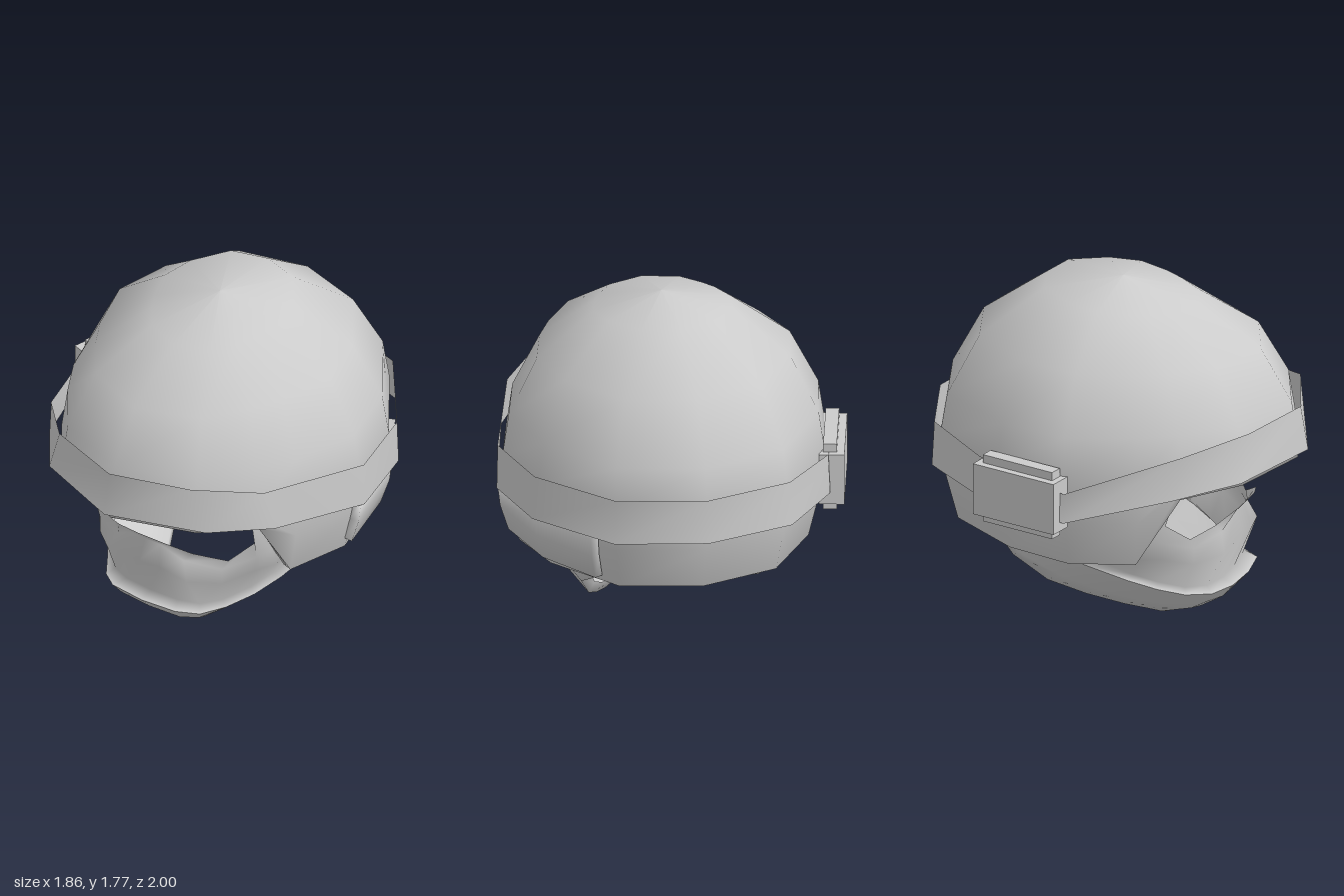
import * as THREE from 'three';

const material = new THREE.MeshStandardMaterial({ color: 0xcccccc, side: THREE.DoubleSide });
const CENTRE = 0.045; // the shell sits slightly off centre, balancing the side box

// Half loop (front to back, both ends on x = 0) -> full loop
const mirror = half => [...half, ...half.slice(1, -1).reverse().map(([x, y, z]) => [-x, y, z])];
const lerp = (a, b, t) => a.map((v, i) => v + (b[i] - v) * t);

// Skin a list of equal-length rows, bottom to top; skip(r, c) leaves a hole
function loft(name, rows, closed = true, skip = () => false) {
  const n = rows[0].length, index = [];
  for (let r = 0; r < rows.length - 1; r++) {
    for (let c = 0; c < (closed ? n : n - 1); c++) {
      if (skip(r, c)) continue;
      const d = (c + 1) % n;
      const a = r * n + c, b = r * n + d, e = a + n, f = b + n;
      index.push(a, b, f, a, f, e);
    }
  }
  const g = new THREE.BufferGeometry();
  g.setAttribute('position', new THREE.Float32BufferAttribute(rows.flat(2), 3));
  g.setIndex(index);
  g.computeVertexNormals();
  const mesh = new THREE.Mesh(g, material);
  mesh.name = name;
  return mesh;
}

// Domed shell with a raised brow, ear flaps and an inward lip
function helmetShell() {
  // plan x, plan z, height of the rim
  const columns = [[0, 0.95, 0.88], [0.43, 0.79, 0.87], [0.63, 0.52, 0.83], [0.74, 0.32, 0.455],
    [0.855, -0.05, 0.46], [0.76, -0.43, 0.475], [0.46, -0.84, 0.485], [0, -0.96, 0.485]];
  const taper = y => 1 - 0.11 * Math.pow((0.95 - y) / 0.5, 1.5);
  const rows = [];
  // lip, from the inside out; thinner along the flaps and the back
  for (const [s, dy] of [[0.78, 0.15], [0.85, -0.02], [0.94, -0.01], [1, 0]]) {
    rows.push(mirror(columns.map(([x, z, y]) => {
      const k = (y < 0.5 ? 0.65 * s + 0.35 : s) * taper(y);
      return [x * k, y + (y < 0.5 ? dy * 0.5 : dy), z * k];
    })));
  }
  // side wall between rim and widest ring
  rows.push(mirror(columns.map(([x, z, rim]) => {
    const y = (rim + 0.95) / 2;
    return [x * taper(y), y, z * taper(y)];
  })));
  // crown
  for (const [y, s, tilt] of [[0.95, 1, 0], [1.18, 0.96, 0], [1.475, 0.785, 0.02], [1.7, 0.43, 0.04], [1.77, 0, 0]]) {
    rows.push(mirror(columns.map(([x, z]) => [x * s, y - z * tilt, z * s])));
  }
  return loft('helmetShell', rows);
}

// Loose band around the helmet, rising toward the brow and caught in the side box
function band() {
  const top = mirror([[0, 1.165, 0.96], [0.42, 1.16, 0.82], [0.68, 1.09, 0.54], [0.88, 1.015, -0.05],
    [0.79, 1.015, -0.46], [0.46, 1.025, -0.87], [0, 1.03, -0.99]]);
  const bottom = mirror([[0, 0.93, 1], [0.5, 0.91, 0.8], [0.72, 0.86, 0.5], [0.885, 0.77, -0.05],
    [0.8, 0.775, -0.46], [0.47, 0.785, -0.88], [0, 0.79, -1]]);
  // right side: pulled outward and down to pass through the box
  top[8] = [-0.75, 0.99, -0.53];
  bottom[8] = [-0.76, 0.77, -0.53];
  top[9] = [-0.92, 0.91, -0.02];
  bottom[9] = [-0.925, 0.75, -0.02];
  return loft('band', [bottom, top]);
}

// Face mask, hood and chin strap
function hood() {
  const group = new THREE.Group();
  group.name = 'hood';
  // face rows from the eye opening down to the chin crease
  const face = [
    [[0, 0.65, 0.71], [0.15, 0.62, 0.67], [0.25, 0.55, 0.58], [0.42, 0.53, 0.5], [0.52, 0.63, 0.4], [0.53, 0.75, 0.44]],
    [[0, 0.58, 0.65], [0.09, 0.575, 0.64], [0.21, 0.5, 0.6], [0.39, 0.47, 0.51], [0.52, 0.53, 0.39], [0.57, 0.56, 0.33]],
    [[0, 0.47, 0.7], [0.12, 0.47, 0.685], [0.25, 0.4, 0.63], [0.39, 0.38, 0.51], [0.5, 0.43, 0.37], [0.56, 0.44, 0.27]],
    [[0, 0.23, 0.6], [0.16, 0.23, 0.59], [0.27, 0.22, 0.54], [0.35, 0.23, 0.45], [0.44, 0.28, 0.33], [0.5, 0.33, 0.22]],
  ];
  const crownEdge = [[0.66, 0.75, 0.1], [0.68, 0.75, -0.35], [0.42, 0.75, -0.72], [0, 0.75, -0.82]];
  // upper and lower edges of the strap running around the neck opening
  const strapTop = [[0, 0.21, 0.68], [0.2, 0.21, 0.66], [0.3, 0.19, 0.58], [0.38, 0.2, 0.46], [0.47, 0.25, 0.34],
    [0.54, 0.31, 0.2], [0.6, 0.39, 0], [0.61, 0.47, -0.3], [0.42, 0.51, -0.62], [0, 0.51, -0.74]];
  const strapBottom = [[0, 0, 0.28], [0.16, 0, 0.28], [0.19, 0.01, 0.27], [0.22, 0.03, 0.2], [0.27, 0.06, 0.1],
    [0.36, 0.13, -0.08], [0.45, 0.22, -0.26], [0.53, 0.37, -0.42], [0.4, 0.49, -0.6], [0, 0.5, -0.72]];

  const back = t => crownEdge.map((p, i) => lerp(p, strapTop[i + 6], t));
  const rows = face.map((row, i) => mirror([...row, ...back([0, 0.3, 0.6, 0.85][i])]));
  group.add(loft('faceMask', [mirror(strapTop), ...rows.reverse()]));

  // strap: bulges forward between its edges, then turns inward; slot at the mouth
  const strapRow = (t, bulge) => mirror(strapTop.map((p, i) => {
    const [x, y, z] = lerp(p, strapBottom[i], t);
    return [x, y, z + Math.max(0, z) * bulge];
  }));
  const lower = strapRow(0.7, 0.22), upper = strapRow(0.35, 0.14);
  const inner = mirror(strapBottom.map(([x, y, z]) => [x * 0.92, y + 0.05, z * 0.93]));
  const n = lower.length;
  group.add(loft('chinStrap', [inner, mirror(strapBottom), lower, upper, mirror(strapTop)],
    true, (r, c) => r === 2 && (c === 0 || c === n - 1)));

  // recessed panel behind the mouth slot
  const recess = row => [row[n - 2], row[n - 1], row[0], row[1], row[2]].map(([x, y, z]) => [x, y, z - 0.04]);
  group.add(loft('mouthPanel', [recess(lower), recess(upper)], false));

  // skull cap inside the helmet, from the top of the eye opening
  const brow = [[0, 0.79, 0.73], [0.2, 0.79, 0.69], [0.3, 0.84, 0.62], [0.42, 0.85, 0.55], [0.5, 0.82, 0.48],
    [0.53, 0.75, 0.44], ...crownEdge];
  const cap = [0, 0.3, 0.65, 1.05, Math.PI / 2].map(a => mirror(brow.map(([x, y, z]) =>
    [x * Math.cos(a), y + (1.6 - y) * Math.sin(a), z * Math.cos(a)])));
  group.add(loft('skullCap', cap));
  return group;
}

// Thin curved plate on the left side of the shell, edges turned in
function sidePlate() {
  const plan = [[0.82, -0.03], [0.875, -0.03], [0.78, -0.43], [0.565, -0.75], [0.52, -0.73]];
  const rows = [[0.52, 0.87], [0.52, 0.935], [0.66, 0.985], [0.77, 1], [0.77, 0.93]].map(([y, s]) =>
    plan.map(([x, z]) => [x * s, y, z * (z < -0.1 ? s : 1)]));
  return loft('sidePlate', rows, false);
}

// Box clipped to the right side, with a taller slat through it
function sideBox() {
  const group = new THREE.Group();
  group.name = 'sideBox';
  for (const [name, w, h, d, x] of [['boxBody', 0.13, 0.28, 0.5, 0], ['boxSlat', 0.07, 0.37, 0.43, 0.01]]) {
    const mesh = new THREE.Mesh(new THREE.BoxGeometry(w, h, d), material);
    mesh.name = name;
    mesh.position.x = x;
    group.add(mesh);
  }
  group.position.set(-0.795 - CENTRE, 0.84, -0.28);
  group.rotation.y = -0.28;
  return group;
}

export function createModel() {
  const model = new THREE.Group();
  model.name = 'helmet';
  const body = new THREE.Group();
  body.name = 'helmetBody';
  body.position.x = CENTRE;
  body.add(helmetShell(), band(), hood(), sidePlate(), sideBox());
  model.add(body);
  return model;
}
